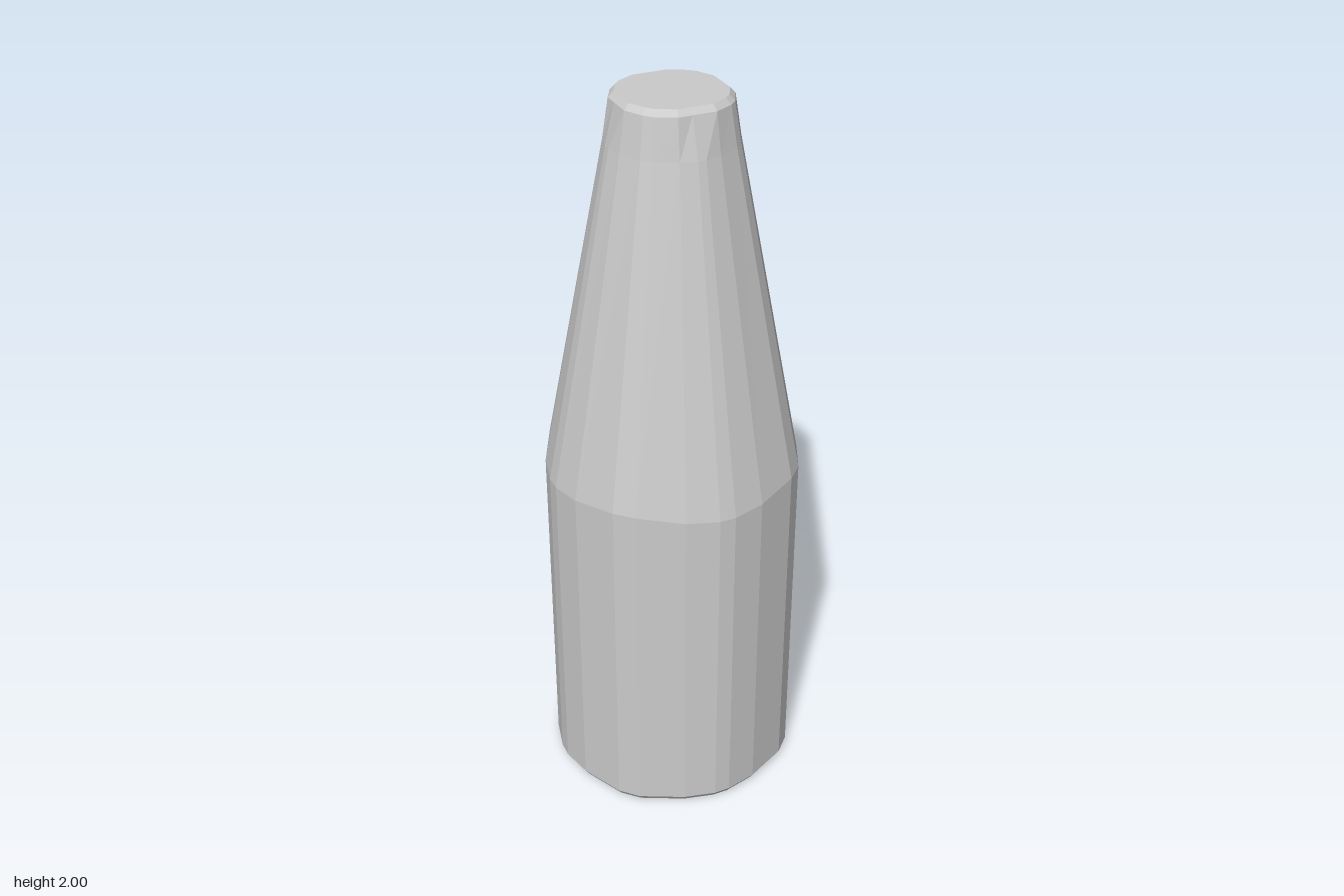
import * as THREE from 'three';

// Expand one quadrant of a ring (from +x to +z) to the full 24-sided outline.
function fullRing(quadrant) {
  const ring = [];
  let q = quadrant;
  for (let k = 0; k < 4; k++) {
    ring.push(...q);
    q = q.map(([x, z]) => [-z, x]);
  }
  return ring;
}

// Skin a stack of rings; each level is { quad, y, scale }, y may be a function of the index.
function loft(levels, capBottom, capTop) {
  const pos = [], idx = [];
  const rings = levels.map(({ quad, y, scale = 1 }) =>
    fullRing(quad).map(([x, z], i) => [x * scale, typeof y === 'function' ? y(i) : y, z * scale]));
  const n = rings[0].length;
  rings.forEach((r) => r.forEach((p) => pos.push(...p)));
  for (let l = 0; l < rings.length - 1; l++) {
    for (let i = 0; i < n; i++) {
      const a = l * n + i, b = l * n + (i + 1) % n;
      idx.push(a, a + n, b, b, a + n, b + n);
    }
  }
  const last = (rings.length - 1) * n;
  for (let i = 1; i < n - 1; i++) {
    if (capBottom) idx.push(0, i, i + 1);
    if (capTop) idx.push(last, last + i + 1, last + i);
  }
  const g = new THREE.BufferGeometry();
  g.setAttribute('position', new THREE.Float32BufferAttribute(pos, 3));
  g.setIndex(idx);
  const flat = g.toNonIndexed();
  flat.computeVertexNormals();
  return flat;
}

export function createModel() {
  const group = new THREE.Group();
  group.name = 'taperedBottle';
  const material = new THREE.MeshStandardMaterial({ color: 0xcccccc, flatShading: true });

  const wide = [[0.348, 0.022], [0.327, 0.109], [0.27, 0.225], [0.225, 0.27], [0.109, 0.327], [0.022, 0.348]];
  const lip = [[0.146, 0.014], [0.146, 0.05], [0.12, 0.1], [0.1, 0.12], [0.05, 0.146], [0.014, 0.146]];

  // Slightly uneven shoulder line
  const shoulder = { quad: wide, y: (i) => [0.965, 0.97, 0.985, 0.985, 0.97, 0.965][i % 6] };

  // Cylindrical body with a small bevel at the foot
  const body = new THREE.Mesh(loft([
    { quad: wide, y: 0, scale: 0.965 },
    { quad: wide, y: 0.018 },
    shoulder,
  ], true, false), material);
  body.name = 'body';

  // Long conical neck ending in a bevelled flat top
  const neck = new THREE.Mesh(loft([
    shoulder,
    { quad: wide, y: 1.88, scale: 0.495 },
    { quad: lip, y: 1.985 },
    { quad: lip, y: 2, scale: 0.91 },
  ], false, true), material);
  neck.name = 'neck';

  group.add(body, neck);
  return group;
}
